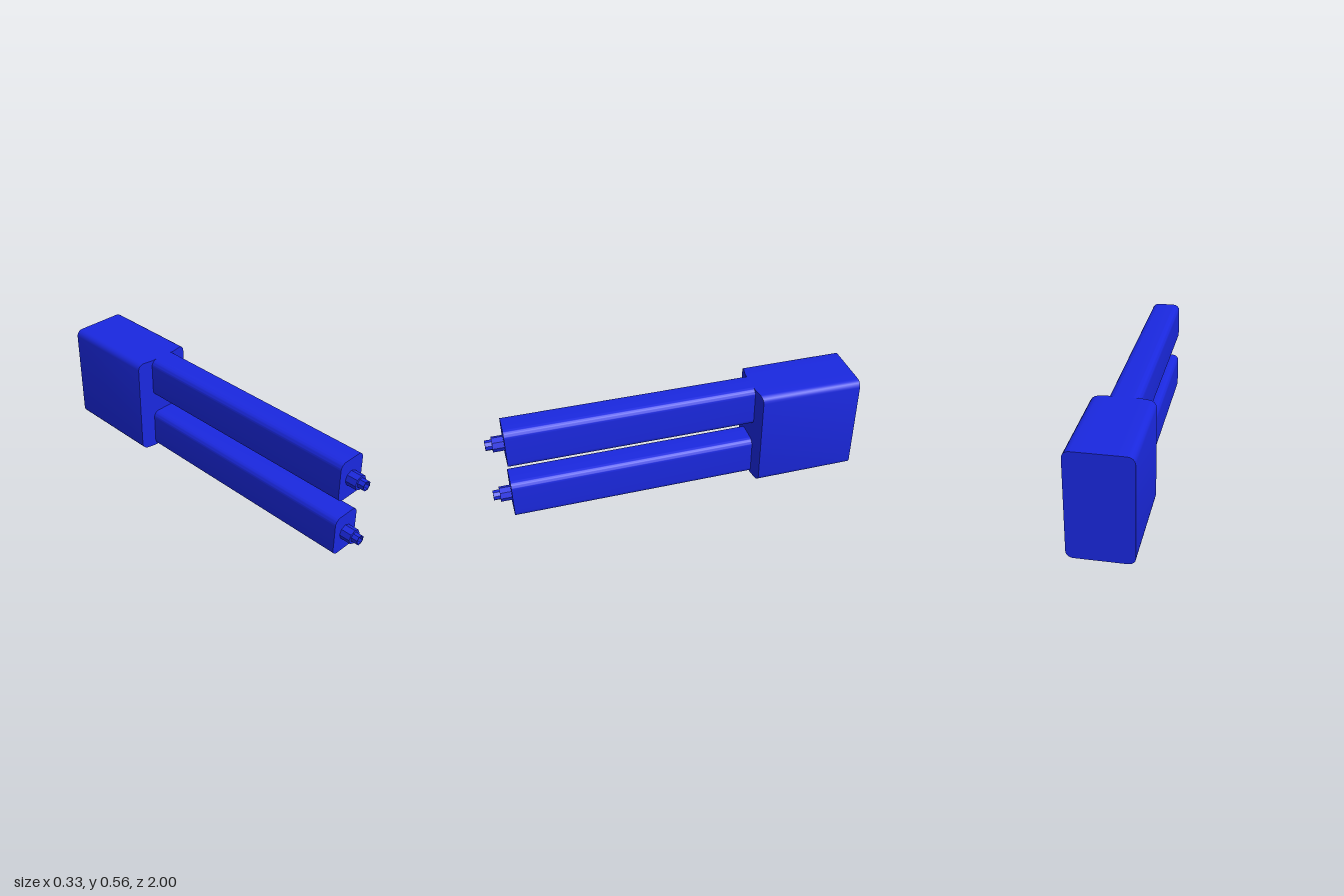
import * as THREE from 'three';
import { toCreasedNormals } from 'three/addons/utils/BufferGeometryUtils.js';

const material = new THREE.MeshStandardMaterial({ color: 0x1a28e0 });
const faceted = new THREE.MeshStandardMaterial({ color: 0x1a28e0, flatShading: true });

const HALF_W = 0.166, HEIGHT = 0.565, RADIUS = 0.036;
const ARM_W = 0.082, ARM_H = 0.228;
const BACK = -1, FRONT = -0.43, ARM_END = 0.905;

function add(group, name, geometry, mat = material) {
  const mesh = new THREE.Mesh(geometry, mat);
  mesh.name = name;
  group.add(mesh);
  return mesh;
}

// Block swept across x in columns: rounded long edges, front sloping back towards both sides
function bodyGeometry() {
  const right = [[ARM_W, 0]];
  for (let i = 0; i <= 4; i++) {
    const a = (i / 4) * Math.PI / 2;
    right.push([HALF_W - RADIUS + RADIUS * Math.sin(a), RADIUS * (1 - Math.cos(a))]);
  }
  const left = right.map(([x, inset]) => [-x, inset]).reverse();
  const columns = [...left, ...right].map(([x, inset]) => {
    const slope = 0.016 * (Math.abs(x) - ARM_W) / (HALF_W - ARM_W);
    const lo = inset, hi = HEIGHT - inset, z = FRONT - slope;
    // front bottom, front top, back top, back bottom
    return [[x, lo, z], [x, hi, z], [x, hi, BACK], [x, lo, BACK]];
  });
  const pos = [];
  const quad = (a, b, c, d) => pos.push(...a, ...b, ...c, ...a, ...c, ...d);
  for (let i = 0; i < columns.length - 1; i++) {
    const p = columns[i], q = columns[i + 1];
    for (let k = 0; k < 4; k++) {
      const n = (k + 1) % 4;
      quad(p[k], q[k], q[n], p[n]);
    }
  }
  const first = columns[0], last = columns[columns.length - 1];
  quad(first[0], first[1], first[2], first[3]);
  quad(last[3], last[2], last[1], last[0]);
  const g = new THREE.BufferGeometry();
  g.setAttribute('position', new THREE.Float32BufferAttribute(pos, 3));
  return toCreasedNormals(g, 0.5);
}

// Long bar with rounded edges, centred on its own axis
function armGeometry() {
  const w = ARM_W, h = ARM_H / 2, r = RADIUS;
  const s = new THREE.Shape();
  s.moveTo(w, h - r);
  s.absarc(w - r, h - r, r, 0, Math.PI / 2);
  s.absarc(-w + r, h - r, r, Math.PI / 2, Math.PI);
  s.absarc(-w + r, -h + r, r, Math.PI, Math.PI * 1.5);
  s.absarc(w - r, -h + r, r, Math.PI * 1.5, Math.PI * 2);
  const g = new THREE.ExtrudeGeometry(s, { depth: ARM_END - FRONT + 0.02, bevelEnabled: false, curveSegments: 6 });
  g.translate(0, 0, FRONT - 0.02);
  return toCreasedNormals(g, 0.5);
}

export function createModel() {
  const group = new THREE.Group();
  group.name = 'twinArmBlock';
  add(group, 'body', bodyGeometry());

  const arm = armGeometry();
  const nut = new THREE.CylinderGeometry(0.041, 0.041, 0.062, 8).rotateX(Math.PI / 2);
  // Hollow tip: outer wall, rim, inner wall and floor
  const profile = [[0.028, 0], [0.028, 0.036], [0.022, 0.036], [0.022, 0.004], [0, 0.004]]
    .map(([r, y]) => new THREE.Vector2(r, y));
  const tip = new THREE.LatheGeometry(profile, 8, Math.PI / 8).rotateX(Math.PI / 2);

  // Lower and upper arm, each with a nut and a tip
  [['lower', ARM_H / 2], ['upper', HEIGHT - ARM_H / 2]].forEach(([name, y]) => {
    const assembly = new THREE.Group();
    assembly.name = name + 'Arm';
    assembly.position.y = y;
    add(assembly, name + 'Bar', arm);
    add(assembly, name + 'Nut', nut, faceted).position.z = ARM_END + 0.029;
    add(assembly, name + 'Tip', tip, faceted).position.z = 0.964;
    group.add(assembly);
  });
  return group;
}
